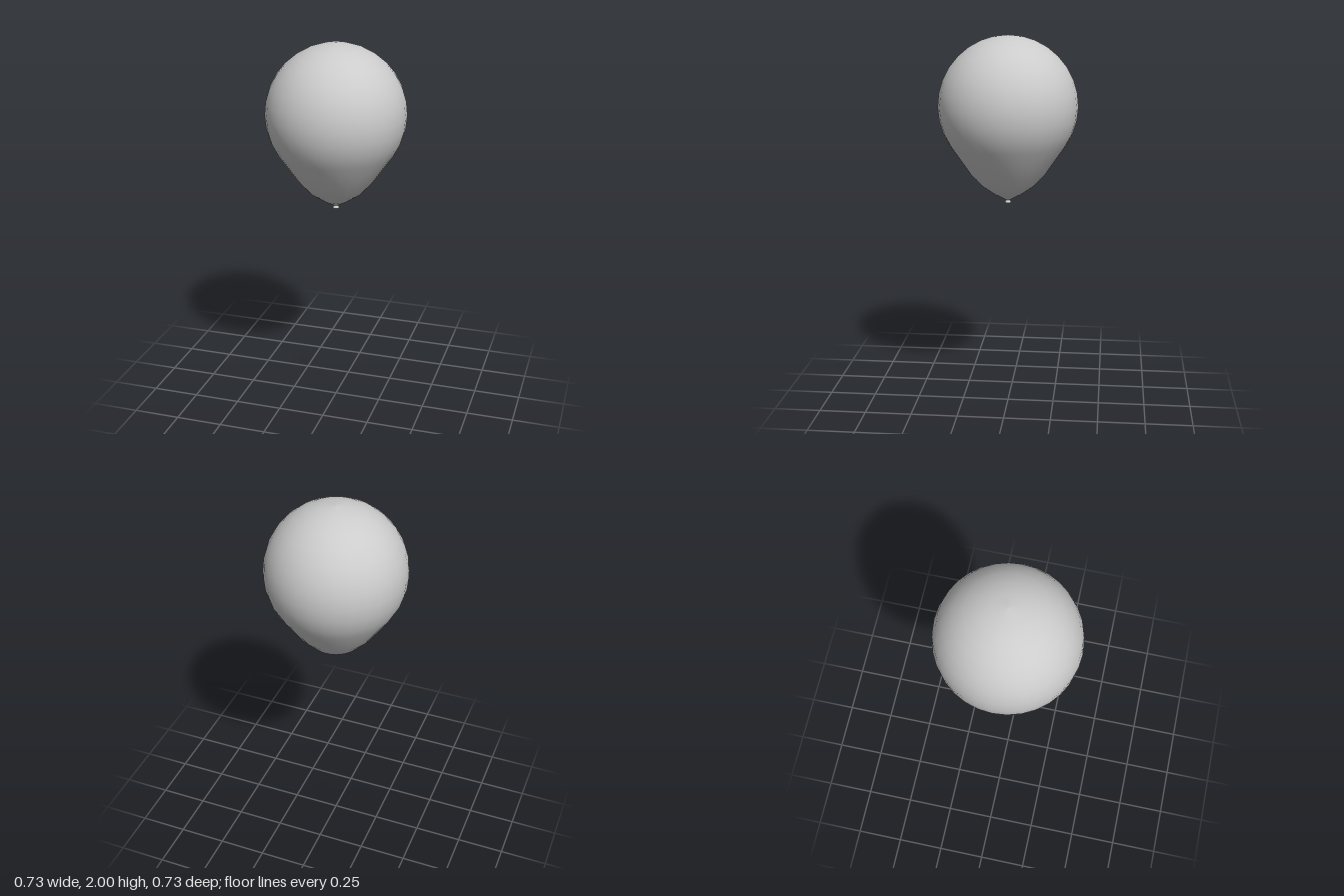
import * as THREE from 'three';

const SEGMENTS = 32;
const RADIUS = 0.365;
const CENTRE_Y = 1.635;

export function createModel() {
  const group = new THREE.Group();
  const material = new THREE.MeshStandardMaterial({ color: 0xcccccc });
  const add = (name, geometry, y = 0) => {
    const mesh = new THREE.Mesh(geometry, material);
    mesh.name = name;
    mesh.position.y = y;
    group.add(mesh);
  };

  // Balloon skin: round on top, drawn out to a point below (bottom to top)
  const drop = [0.503, 0.465, 0.418, 0.349, 0.268, 0.203, 0.14, 0.071];
  const profile = [];
  for (let i = 0; i <= 16; i++) {
    const a = (i / 16) * Math.PI;
    const y = i < 8 ? -drop[i] : -Math.cos(a) * RADIUS;
    profile.push(new THREE.Vector2(i === 16 ? 0 : Math.sin(a) * RADIUS, y));
  }
  add('balloon', new THREE.LatheGeometry(profile, SEGMENTS), CENTRE_Y);

  // Tied neck, flaring downwards
  add('knot', new THREE.CylinderGeometry(0.01, 0.018, 0.016, 16), 1.132);

  // Hair-thin string hanging to the ground
  add('string', new THREE.CylinderGeometry(0.0006, 0.0006, 1.125, 6), 0.5625);

  return group;
}
